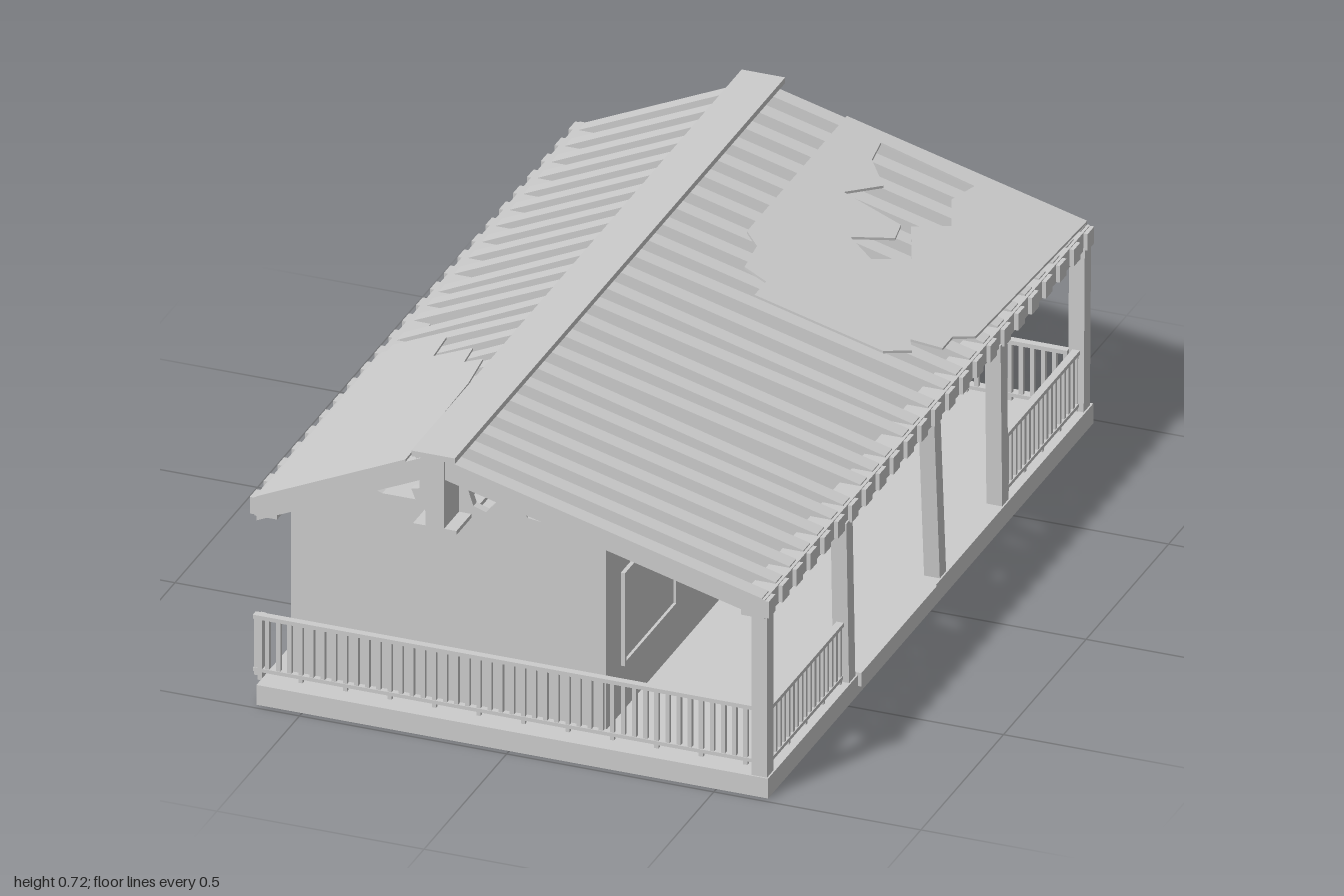
import * as THREE from 'three';

const mat = new THREE.MeshStandardMaterial({ color: 0xcccccc, flatShading: true, side: THREE.DoubleSide });

// Roof surface height on either slope
const roofY = x => x > -0.18 ? 0.705 - (x + 0.155) * 0.265 : 0.705 + (x + 0.2) * 0.45;

function add(parent, name, geometry) {
  const mesh = new THREE.Mesh(geometry, mat);
  mesh.name = name;
  parent.add(mesh);
  return mesh;
}

// Box given by its lower and upper corners
function box(parent, name, x0, x1, y0, y1, z0, z1) {
  const g = new THREE.BoxGeometry(x1 - x0, y1 - y0, z1 - z0);
  g.translate((x0 + x1) / 2, (y0 + y1) / 2, (z0 + z1) / 2);
  return add(parent, name, g);
}

const shapeOf = pts => new THREE.Shape(pts.map(p => new THREE.Vector2(p[0], p[1])));
const extrude = (shape, depth) => new THREE.ExtrudeGeometry(shape, { depth, bevelEnabled: false });

// Sloping rafter; skew slides the eave end along z
function rafter(parent, x0, x1, depth, z, width, skew) {
  const g = extrude(shapeOf([
    [x0, roofY(x0)], [x1, roofY(x1)], [x1, roofY(x1) - depth], [x0, roofY(x0) - depth]]), width);
  g.translate(0, 0, z - width / 2);
  const p = g.attributes.position;
  for (let i = 0; i < p.count; i++) p.setZ(i, p.getZ(i) + skew * (p.getX(i) - x0) / (x1 - x0));
  g.computeVertexNormals();
  add(parent, 'rafter', g);
}

// Torn sheet laid on the slope, outlined in x and z
function sheet(parent, outline, holes = []) {
  const flip = pts => pts.map(([x, z]) => [x, -z]);
  const s = shapeOf(flip(outline));
  holes.forEach(h => s.holes.push(shapeOf(flip(h))));
  const g = extrude(s, 0.006).rotateX(-Math.PI / 2);
  const p = g.attributes.position;
  for (let i = 0; i < p.count; i++) p.setY(i, p.getY(i) + roofY(p.getX(i)));
  g.computeVertexNormals();
  add(parent, 'roofSheet', g);
}

// Railing running along x or z, from a to b, at a fixed cross position
function railing(parent, axis, a, b, at) {
  const group = new THREE.Group();
  group.name = 'railing';
  parent.add(group);
  const bar = (name, s0, s1, y0, y1, half) => axis === 'x'
    ? box(group, name, s0, s1, y0, y1, at - half, at + half)
    : box(group, name, at - half, at + half, y0, y1, s0, s1);
  bar('topRail', a, b, 0.193, 0.203, 0.009);
  bar('bottomRail', a, b, 0.06, 0.069, 0.007);
  const n = Math.round((b - a) / 0.027);
  for (let i = 0; i <= n; i++) {
    const s = a + 0.006 + (b - a - 0.012) * i / n;
    bar('baluster', s - 0.005, s + 0.005, i % 4 ? 0.06 : 0.05, 0.195, 0.005);
  }
}

// Raised frame on the porch wall, with a thin pane
function frame(parent, name, z0, z1, y0, y1) {
  const t = 0.01, s = shapeOf([[-z1, y0], [-z0, y0], [-z0, y1], [-z1, y1]]);
  s.holes.push(shapeOf([[-z1 + t, y0 + t], [-z0 - t, y0 + t], [-z0 - t, y1 - t], [-z1 + t, y1 - t]]));
  const g = extrude(s, 0.012).rotateY(Math.PI / 2);
  g.translate(0.198, 0, 0);
  add(parent, name + 'Frame', g);
  box(parent, name + 'Pane', 0.196, 0.203, y0 + t, y1 - t, z0 + t, z1 - t);
}

export function createModel() {
  const root = new THREE.Group();
  root.name = 'cabin';

  // Base and step
  box(root, 'base', -0.61, 0.625, 0, 0.05, -0.985, 0.985);
  box(root, 'step', 0.6, 0.633, 0.022, 0.056, -0.02, 0.44);

  // House body, with windows and door on the porch side
  box(root, 'walls', -0.56, 0.2, 0.05, 0.52, -0.9, 0.9);
  frame(root, 'window', 0.49, 0.81, 0.17, 0.405);
  frame(root, 'window', 0.23, 0.375, 0.24, 0.405);
  frame(root, 'window', 0.06, 0.205, 0.24, 0.405);
  frame(root, 'window', -0.72, -0.47, 0.17, 0.405);
  frame(root, 'door', -0.3, -0.1, 0.05, 0.405);
  box(root, 'doorRail', 0.198, 0.208, 0.15, 0.163, -0.29, -0.11);

  // Broken gables
  for (const z of [-0.9, 0.88]) {
    const s = shapeOf([[-0.5, 0.515], [0.2, 0.515], [0.2, 0.565], [0.15, 0.575], [0.13, 0.54],
      [0.09, 0.572], [0.05, 0.545], [0.01, 0.55], [-0.02, 0.6], [-0.06, 0.58], [-0.09, 0.545],
      [-0.12, 0.555], [-0.135, 0.6], [-0.12, 0.65], [-0.155, 0.67], [-0.2, 0.67]]);
    s.holes.push(shapeOf([[-0.38, 0.56], [-0.34, 0.545], [-0.26, 0.545], [-0.27, 0.57],
      [-0.25, 0.575], [-0.25, 0.62], [-0.28, 0.61], [-0.27, 0.59], [-0.33, 0.582]]));
    add(root, 'gable', extrude(s, 0.02)).position.z = z;
  }

  // Ridge beam with flanges and end gussets
  box(root, 'ridgeCap', -0.23, -0.125, 0.708, 0.722, -1, 1);
  box(root, 'ridgeWeb', -0.2, -0.155, 0.53, 0.71, -0.99, 0.99);
  box(root, 'ridgeFoot', -0.23, -0.125, 0.524, 0.534, -0.99, 0.99);
  for (const z of [-0.98, 0.96]) {
    add(root, 'gusset', extrude(shapeOf([[-0.23, 0.71], [-0.2, 0.54], [-0.2, 0.71]]), 0.02)).position.z = z;
  }

  // Eave beams
  box(root, 'leftEaveBeam', -0.615, -0.56, 0.477, 0.524, -0.985, 0.985);
  box(root, 'rightEaveBeam', 0.56, 0.617, 0.452, 0.499, -0.985, 0.985);

  // Rafters with tail blocks, some slipped out of line
  const count = 24;
  for (let i = 0; i < count; i++) {
    const z = -0.965 + 1.93 * i / (count - 1);
    const slip = z > -0.15 && z < 0.5 ? 0.012 * Math.sin(i * 2.3) : 0;
    rafter(root, -0.165, 0.61, 0.05, z, 0.04, slip);
    rafter(root, -0.2, -0.61, 0.055, z, 0.04, -slip);
    box(root, 'rafterTail', 0.6, 0.627, 0.455, 0.497, z - 0.02, z + 0.02);
    box(root, 'rafterTail', -0.626, -0.6, 0.48, 0.522, z - 0.02, z + 0.02);
  }

  // Torn roof sheets
  sheet(root, [[0.03, -0.985], [0.61, -0.985], [0.59, -0.36], [0.55, -0.32], [0.55, -0.26],
    [0.48, -0.24], [0.5, -0.2], [0.45, -0.15], [0.14, -0.15], [0.14, -0.22], [0.08, -0.24],
    [0.07, -0.34], [0.03, -0.38]],
  [[[0.13, -0.94], [0.36, -0.93], [0.34, -0.84], [0.38, -0.74], [0.31, -0.67], [0.36, -0.55],
    [0.29, -0.48], [0.22, -0.53], [0.3, -0.6], [0.29, -0.66], [0.14, -0.69], [0.2, -0.78], [0.14, -0.86]]]);
  sheet(root, [[-0.61, 0.23], [-0.45, 0.235], [-0.44, 0.34], [-0.34, 0.35], [-0.33, 0.43],
    [-0.28, 0.44], [-0.26, 0.58], [-0.25, 0.985], [-0.61, 0.985]]);

  // Porch posts: bottom z, top z
  for (const [zb, zt] of [[0.962, 0.962], [0.465, 0.482], [-0.085, -0.05], [-0.462, -0.452], [-0.955, -0.962]]) {
    const g = new THREE.BoxGeometry(0.038, 0.42, 0.038);
    const p = g.attributes.position;
    for (let i = 0; i < p.count; i++) p.setZ(i, p.getZ(i) + (p.getY(i) > 0 ? zt : zb));
    g.translate(0.602, 0.25, 0);
    add(root, 'porchPost', g);
  }

  // Railings on both ends and along the porch
  for (const s of [-1, 1]) {
    railing(root, 'x', -0.635, 0.585, s * 0.935);
    box(root, 'railStub', -0.625, -0.613, 0.04, 0.2, s * 0.93 - 0.012, s * 0.93 + 0.012);
  }
  railing(root, 'z', 0.49, 0.945, 0.602);
  railing(root, 'z', -0.945, -0.48, 0.602);

  return root;
}
